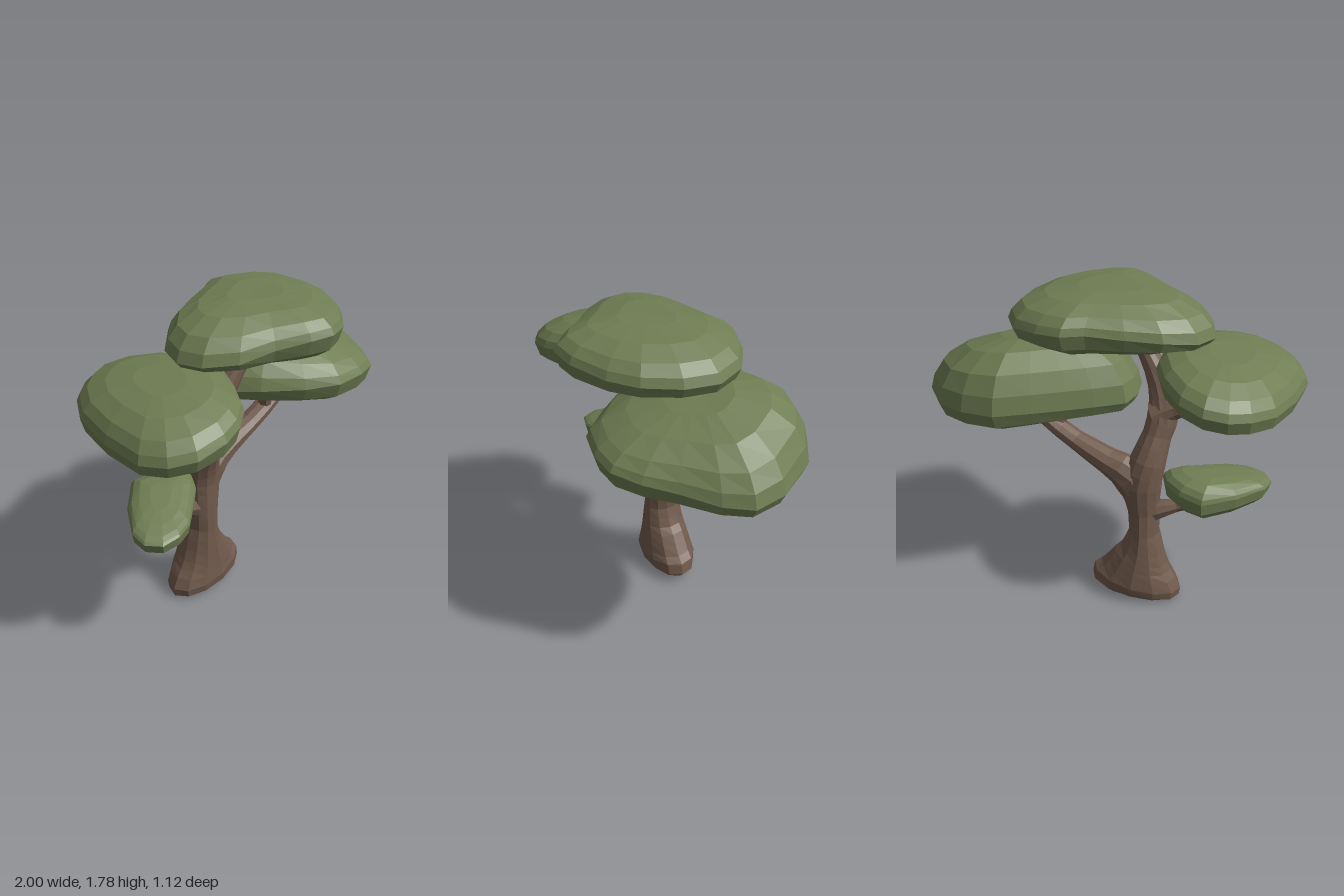
import * as THREE from 'three';

const bark = new THREE.MeshStandardMaterial({ color: 0x705a4c, flatShading: true });
const leaf = new THREE.MeshStandardMaterial({ color: 0x6f7d53, flatShading: true });

// Skin closed rings of points (top ring first, clockwise from above) and cap both ends.
function loft(rings, material, name) {
  const n = rings[0].length, last = (rings.length - 1) * n, index = [];
  const points = rings.flat();
  const centre = (ring) => ring.reduce((s, p) => s.add(p), new THREE.Vector3()).divideScalar(n);
  const top = points.push(centre(rings[0])) - 1;
  const bottom = points.push(centre(rings[rings.length - 1])) - 1;
  for (let j = 0; j < n; j++) {
    const k = (j + 1) % n;
    index.push(top, k, j, bottom, last + j, last + k);
    for (let r = 0; r < last; r += n) {
      index.push(r + j, r + k, r + n + j, r + k, r + n + k, r + n + j);
    }
  }
  const geometry = new THREE.BufferGeometry().setFromPoints(points);
  geometry.setIndex(index);
  geometry.computeVertexNormals();
  const mesh = new THREE.Mesh(geometry, material);
  mesh.name = name;
  return mesh;
}

// Tapered limb; each stop is [x, y, z, radius, depth radius].
function limb(name, stops, sides) {
  const curve = new THREE.CatmullRomCurve3(stops.map(([x, y, z]) => new THREE.Vector3(x, y, z)));
  const steps = (stops.length - 1) * 2, rings = [];
  const forward = new THREE.Vector3(0, 0, 1);
  for (let i = 0; i <= steps; i++) {
    const t = i / steps, a = stops[Math.floor(i / 2)], b = stops[Math.ceil(i / 2)];
    const radius = (a[3] + b[3]) / 2;
    const depth = ((a[4] ?? a[3]) + (b[4] ?? b[3])) / 2;
    const tangent = curve.getTangent(t);
    const across = new THREE.Vector3().crossVectors(tangent, forward).normalize();
    const out = new THREE.Vector3().crossVectors(across, tangent);
    const ring = [];
    for (let j = 0; j < sides; j++) {
      const angle = (j / sides) * Math.PI * 2;
      ring.push(curve.getPoint(t)
        .addScaledVector(across, Math.cos(angle) * radius)
        .addScaledVector(out, Math.sin(angle) * depth));
    }
    rings.push(ring);
  }
  return loft(rings.reverse(), bark, name);
}

// Cushion of leaves: rim of [x, y, z], crown and underside heights at the centre, and their slopes.
const SECTION = [
  [0.32, 0.97], [0.64, 0.83], [0.86, 0.56], [0.96, 0.27], [1, 0], [0.95, -0.6], [0.8, -0.95], [0.4, -1],
];
function cushion(name, { centre: [cx, cz], crown, under, crownSlope = [0, 0], underSlope = 0, rim }) {
  const rings = SECTION.map(([scale, height]) => rim.map(([x, y, z]) => {
    const dx = (x - cx) * scale, dz = (z - cz) * scale;
    const goal = height > 0 ? crown + crownSlope[0] * dx + crownSlope[1] * dz : under + underSlope * dx;
    return new THREE.Vector3(cx + dx, y + (goal - y) * Math.abs(height), cz + dz);
  }));
  return loft(rings, leaf, name);
}

export function createModel() {
  const tree = new THREE.Group();
  tree.name = 'tree';

  // Trunk with flared foot, leaning forward as it rises
  tree.add(limb('trunk', [
    [-0.18, 0.005, -0.125, 0.16, 0.09], [-0.18, 0.045, -0.125, 0.265, 0.145],
    [-0.19, 0.1, -0.125, 0.26, 0.155], [-0.2, 0.2, -0.12, 0.185, 0.14],
    [-0.215, 0.3, -0.115, 0.125, 0.125], [-0.22, 0.42, -0.11, 0.085, 0.11],
    [-0.215, 0.56, -0.105, 0.09, 0.1], [-0.2, 0.72, -0.11, 0.112, 0.1],
    [-0.225, 0.86, -0.085, 0.1, 0.1], [-0.258, 1.0, -0.025, 0.08, 0.09],
    [-0.28, 1.13, 0.02, 0.088, 0.085], [-0.245, 1.27, 0.06, 0.068],
    [-0.16, 1.42, 0.1, 0.052], [-0.05, 1.56, 0.12, 0.045],
  ], 12));

  // Branches carrying the cushions
  tree.add(limb('leftBranch', [
    [-0.21, 0.6, -0.11, 0.085], [-0.14, 0.76, -0.11, 0.11, 0.095], [0.0, 0.835, -0.1, 0.072, 0.08],
    [0.19, 0.915, -0.07, 0.052, 0.064], [0.37, 1.02, -0.045, 0.046, 0.06], [0.55, 1.18, -0.035, 0.03, 0.045],
  ], 10));
  tree.add(limb('leftTwig', [
    [0.31, 0.97, -0.05, 0.05], [0.285, 1.04, -0.035, 0.036], [0.255, 1.11, -0.025, 0.032], [0.23, 1.2, -0.02, 0.032],
  ], 8));
  tree.add(limb('rightBranch', [
    [-0.24, 1.1, 0.0, 0.085], [-0.34, 1.16, 0.015, 0.068], [-0.46, 1.185, 0.01, 0.042],
    [-0.6, 1.215, -0.005, 0.037], [-0.75, 1.29, -0.02, 0.028],
  ], 10));
  tree.add(limb('lowerRightBranch', [
    [-0.2, 0.53, -0.11, 0.08], [-0.3, 0.575, -0.105, 0.058], [-0.4, 0.605, -0.09, 0.034],
    [-0.5, 0.635, -0.08, 0.026], [-0.62, 0.68, -0.07, 0.02],
  ], 8));

  // Leaf cushions
  tree.add(cushion('topFoliage', {
    centre: [0.03, 0.08], crown: 1.79, under: 1.52,
    rim: [
      [-0.53, 1.57, 0.04], [-0.47, 1.58, -0.09], [-0.32, 1.61, -0.2], [-0.14, 1.63, -0.26],
      [0.05, 1.65, -0.31], [0.16, 1.65, -0.36], [0.3, 1.64, -0.33], [0.45, 1.62, -0.25],
      [0.54, 1.61, -0.1], [0.53, 1.61, 0.08], [0.46, 1.62, 0.27], [0.35, 1.63, 0.4],
      [0.17, 1.65, 0.52], [0.03, 1.66, 0.555], [-0.08, 1.65, 0.5], [-0.22, 1.62, 0.39],
      [-0.38, 1.58, 0.3], [-0.5, 1.57, 0.17],
    ],
  }));
  tree.add(cushion('leftFoliage', {
    centre: [0.42, -0.04], crown: 1.525, under: 1.145, crownSlope: [-0.12, -0.2], underSlope: -0.07,
    rim: [
      [-0.17, 1.27, -0.1], [-0.14, 1.27, -0.22], [0.0, 1.27, -0.31], [0.12, 1.27, -0.38],
      [0.28, 1.27, -0.47], [0.45, 1.27, -0.56], [0.63, 1.26, -0.54], [0.79, 1.24, -0.46],
      [0.95, 1.21, -0.25], [0.995, 1.2, -0.08], [0.93, 1.21, 0.06], [0.8, 1.24, 0.22],
      [0.7, 1.26, 0.36], [0.58, 1.28, 0.47], [0.43, 1.29, 0.5], [0.25, 1.29, 0.48],
      [0.1, 1.28, 0.36], [-0.06, 1.28, 0.19], [-0.15, 1.27, 0.04],
    ],
  }));
  tree.add(cushion('rightFoliage', {
    centre: [-0.62, 0.02], crown: 1.525, under: 1.255, crownSlope: [0.14, 0], underSlope: 0.15,
    rim: [
      [-1.0, 1.3, 0.22], [-0.97, 1.31, -0.02], [-0.9, 1.33, -0.25], [-0.8, 1.35, -0.38],
      [-0.7, 1.36, -0.44], [-0.58, 1.38, -0.46], [-0.45, 1.4, -0.4], [-0.33, 1.42, -0.26],
      [-0.26, 1.43, -0.1], [-0.25, 1.43, 0.1], [-0.36, 1.42, 0.27], [-0.47, 1.41, 0.4],
      [-0.58, 1.39, 0.46], [-0.7, 1.37, 0.48], [-0.85, 1.33, 0.44], [-0.95, 1.31, 0.35],
    ],
  }));
  tree.add(cushion('lowerRightFoliage', {
    centre: [-0.6, -0.04], crown: 0.835, under: 0.655, crownSlope: [0.1, -0.14],
    rim: [
      [-0.88, 0.74, 0.1], [-0.86, 0.75, 0.0], [-0.73, 0.76, -0.16], [-0.57, 0.77, -0.29],
      [-0.44, 0.78, -0.25], [-0.34, 0.78, -0.16], [-0.31, 0.78, -0.08], [-0.37, 0.77, 0.0],
      [-0.5, 0.76, 0.09], [-0.62, 0.75, 0.17], [-0.73, 0.75, 0.2], [-0.83, 0.74, 0.18],
    ],
  }));
  return tree;
}
